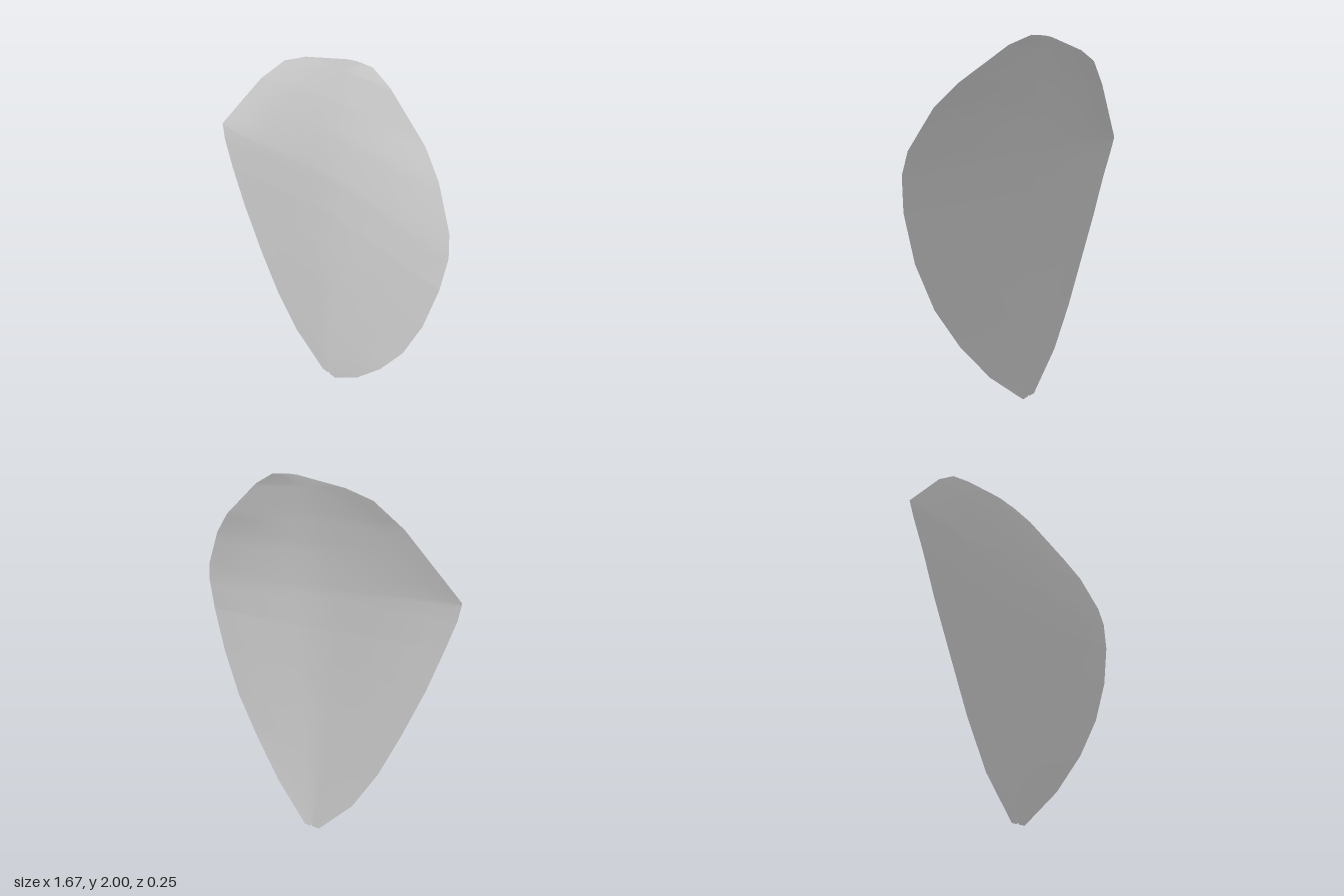
import * as THREE from 'three';

// Outline and spine points, listed from base to tip
const leftEdge = [ // y, x, z, bulge of the surface inside this edge
  [0, -0.03, 0.015, 0], [0.2, -0.245, 0.028, 0], [0.43, -0.4, 0.037, 0], [0.68, -0.53, 0.04, 0],
  [0.95, -0.66, 0.037, 0.004], [1.17, -0.75, 0.032, 0.008], [1.33, -0.815, 0.021, 0.013],
  [1.42, -0.838, 0.01, 0.016], [1.75, -0.565, -0.067, 0.008], [1.88, -0.415, -0.105, 0.003],
  [1.935, -0.27, -0.118, 0], [1.995, 0.01, -0.126, 0], [2, 0.06, -0.126, 0],
];
const rightEdge = [
  [0, 0.07, 0.017, 0], [0.2, 0.295, 0.062, 0], [0.43, 0.485, 0.098, 0], [0.67, 0.64, 0.117, 0],
  [0.93, 0.75, 0.125, 0], [1.19, 0.815, 0.118, 0.004], [1.37, 0.832, 0.1, 0.006],
  [1.48, 0.808, 0.08, 0.005], [1.67, 0.69, 0.027, 0.003], [1.78, 0.57, -0.02, 0],
  [1.95, 0.3, -0.09, 0], [2, 0.165, -0.122, 0],
];
const spine = [
  [0, 0.02, 0.015], [0.2, 0.005, 0.016], [0.5, 0, 0.016], [0.8, 0, 0.015], [1, 0, 0.01],
  [1.2, 0, 0.003], [1.4, 0, -0.009], [1.6, 0, -0.034], [1.8, 0, -0.075],
  [1.95, 0.02, -0.113], [2, 0.1, -0.126],
];

// Piecewise linear lookup by height
function sample(table, y) {
  let i = 0;
  while (i < table.length - 2 && y > table[i + 1][0]) i++;
  const a = table[i], b = table[i + 1];
  const t = (y - a[0]) / (b[0] - a[0]);
  return a.slice(1).map((v, k) => THREE.MathUtils.lerp(v, b[k + 1], t));
}

function petalGeometry() {
  const heights = [...new Set([...leftEdge, ...rightEdge, ...spine].map((p) => p[0]))].sort((a, b) => a - b);
  const half = 6, columns = half * 2 + 1;
  const positions = [], indices = [];

  // One cross-section per height, running left edge - spine - right edge
  heights.forEach((y, row) => {
    const [cx, cz] = sample(spine, y);
    for (let c = -half; c <= half; c++) {
      const t = Math.abs(c) / half;
      const [ex, ez, bulge] = sample(c < 0 ? leftEdge : rightEdge, y);
      positions.push(
        THREE.MathUtils.lerp(cx, ex, t),
        y + (y === 0 && c === 0 ? 0.01 : 0),
        THREE.MathUtils.lerp(cz, ez, t) + bulge * Math.sin(Math.PI * t * t),
      );
    }
    if (row === 0) return;
    for (let c = 0; c < columns - 1; c++) {
      const a = (row - 1) * columns + c, b = a + columns;
      indices.push(a, a + 1, b + 1, a, b + 1, b);
    }
  });

  const geometry = new THREE.BufferGeometry();
  geometry.setAttribute('position', new THREE.Float32BufferAttribute(positions, 3));
  geometry.setIndex(indices);
  geometry.computeVertexNormals();
  return geometry;
}

export function createModel() {
  const group = new THREE.Group();
  group.name = 'petalModel';
  const material = new THREE.MeshStandardMaterial({ color: 0xcccccc, side: THREE.DoubleSide });
  material.name = 'light grey';

  // Single curved sheet
  const petal = new THREE.Mesh(petalGeometry(), material);
  petal.name = 'petal';
  group.add(petal);
  return group;
}
